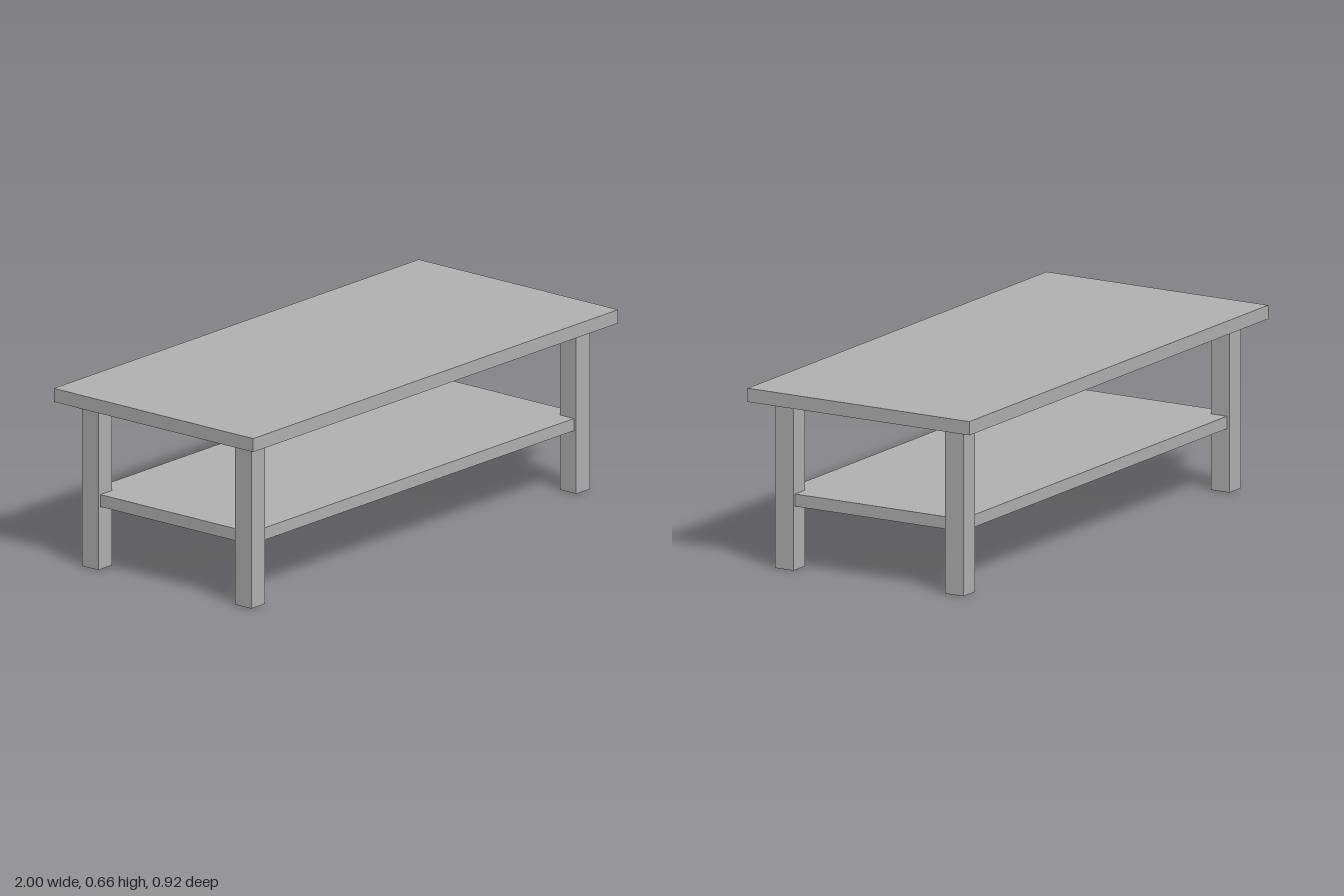
import * as THREE from 'three';

export function createModel() {
  const table = new THREE.Group();
  table.name = 'coffeeTable';

  const grey = new THREE.MeshStandardMaterial({ color: 0xb0b0b0 });
  grey.name = 'grey';

  // Box standing on height y0 and reaching y1
  const addBox = (name, width, depth, y0, y1, x = 0, z = 0) => {
    const mesh = new THREE.Mesh(new THREE.BoxGeometry(width, y1 - y0, depth), grey);
    mesh.name = name;
    mesh.position.set(x, (y0 + y1) / 2, z);
    table.add(mesh);
  };

  // Table top
  addBox('tableTop', 2, 0.923, 0.611, 0.661);

  // Lower shelf, its corners set into the legs
  addBox('shelf', 1.834, 0.764, 0.232, 0.277);

  // Four square legs
  const leg = 0.076;
  for (const [xName, sx] of [['Left', 1], ['Right', -1]]) {
    for (const [zName, sz] of [['front', 1], ['back', -1]]) {
      addBox(`${zName}${xName}Leg`, leg, leg, 0, 0.611, sx * 0.89, sz * 0.354);
    }
  }

  return table;
}
